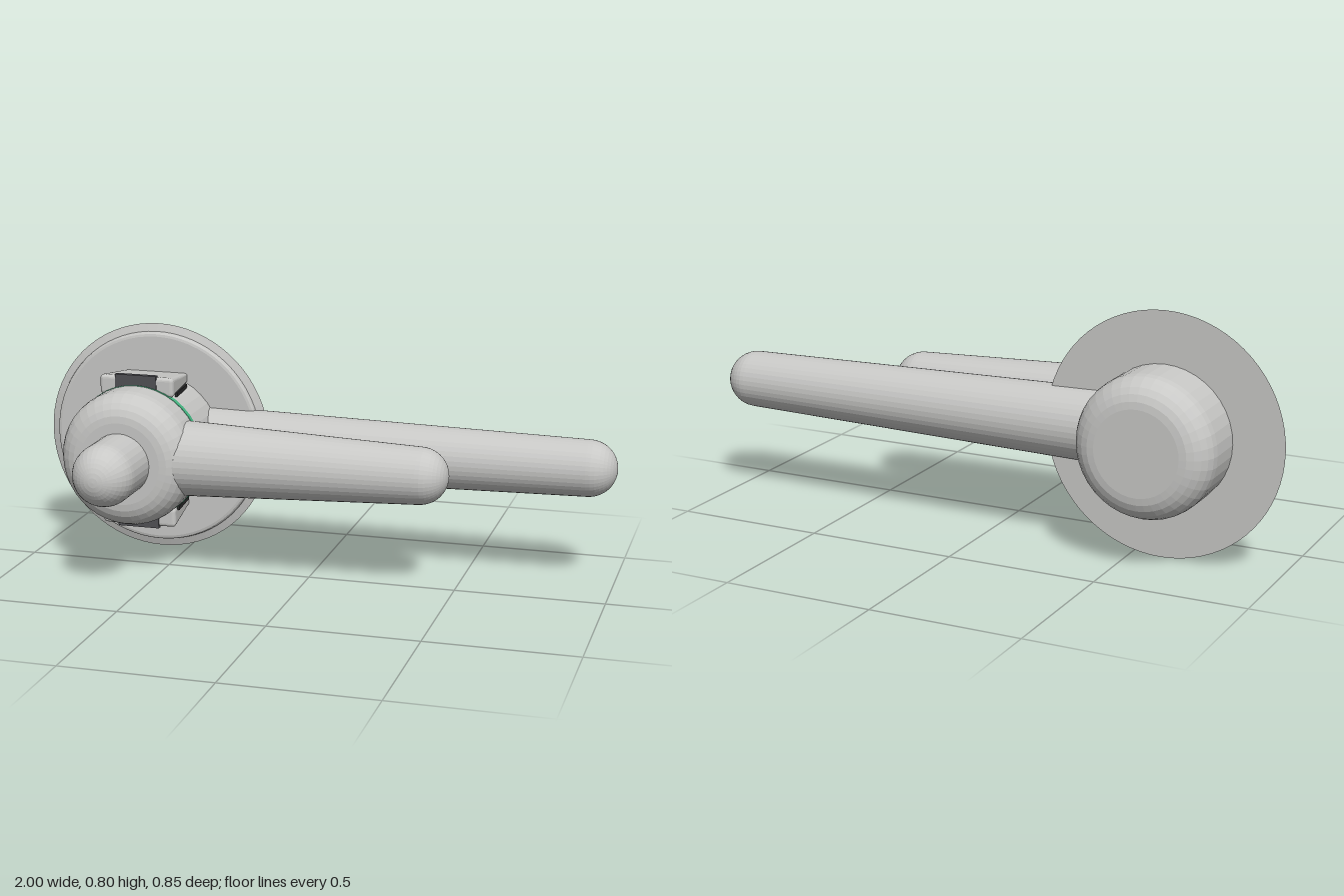
import * as THREE from 'three';
import { RoundedBoxGeometry } from 'three/addons/geometries/RoundedBoxGeometry.js';

const CX = -0.6, CY = 0.402; // main axis of the body, running along z

const paint = (name, color) => {
  const m = new THREE.MeshStandardMaterial({ color });
  m.name = name;
  return m;
};

// Quarter arc of profile points from angle a0 to a1 about (r, h)
const arc = (r, h, radius, a0, a1, n) => Array.from({ length: n + 1 }, (_, i) => {
  const a = a0 + (a1 - a0) * i / n;
  return [Math.max(0, r + radius * Math.cos(a)), h + radius * Math.sin(a)];
});

// Turned solid with faceted normals; axis is y until rotated
function turned(points, sides) {
  const lathe = new THREE.LatheGeometry(points.map(([r, h]) => new THREE.Vector2(r, h)), sides);
  const g = lathe.toNonIndexed();
  g.computeVertexNormals();
  return g;
}

export function createModel() {
  const gray = paint('light gray', 0xc8c8c6);
  const green = paint('green', 0x45b581);
  const charcoal = paint('charcoal', 0x505054);
  const black = paint('black', 0x2b2b2b);
  const model = new THREE.Group();
  const core = new THREE.Group();
  core.name = 'core';
  core.position.set(CX, CY, 0);
  model.add(core);

  const add = (parent, name, geometry, material) => {
    const mesh = new THREE.Mesh(geometry, material);
    mesh.name = name;
    parent.add(mesh);
    return mesh;
  };
  const alongZ = (points, sides) => turned(points, sides).rotateX(Math.PI / 2);
  const H = Math.PI / 2;

  // Rounded barrel and domed nose
  add(core, 'body', alongZ([
    [0, -0.425], ...arc(0.14, -0.335, 0.09, -H, 0, 6),
    ...arc(0.14, 0.1, 0.09, 0, H, 6), [0, 0.19],
  ], 40), gray);
  add(core, 'nose', alongZ([
    [0.105, 0.15], ...arc(0, 0.323, 0.105, 0, H, 10),
  ], 32), gray);

  // Coloured band
  add(core, 'band', alongZ([
    [0.228, 0.005], [0.2315, 0.005], [0.2315, 0.025], [0.228, 0.025],
  ], 40), green);

  // Wide thin flange with a raised front face
  add(core, 'flange', alongZ([
    [0, -0.206], [0.4, -0.206], [0.373, -0.197], [0.37, -0.186],
    [0.366, -0.182], [0.358, -0.18], [0, -0.18],
  ], 72), gray);

  // Tapered arms with round tips, reaching out along +x
  const arm = (name, z, baseRadius, tipX) => {
    const tip = 0.095;
    const g = turned([
      [baseRadius, 0], ...arc(0, tipX - CX - tip, tip, 0, H, 10),
    ], 40).rotateZ(-H);
    add(core, name, g, gray).position.z = z;
  };
  arm('shortArm', 0.053, 0.134, 0.485);
  arm('longArm', -0.19, 0.124, 1.0);

  // Wedge-shaped clips, above and below
  const lerp = THREE.MathUtils.lerp;
  const zBack = -0.2, zFront = 0.018, depth = zFront - zBack;
  for (const [name, turn] of [['topClip', 0], ['bottomClip', Math.PI]]) {
    const clip = new THREE.Group();
    clip.name = name;
    clip.rotation.z = turn;
    core.add(clip);

    const wedge = new RoundedBoxGeometry(0.264, 0.068, depth, 3, 0.014);
    const p = wedge.attributes.position;
    for (let i = 0; i < p.count; i++) {
      const t = p.getZ(i) / depth + 0.5;
      const v = p.getY(i) / 0.068 + 0.5;
      p.setXYZ(i, p.getX(i) * lerp(0.84, 1, t),
        lerp(lerp(0.203, 0.192, t), lerp(0.233, 0.262, t), v),
        lerp(zBack, zFront, t));
    }
    wedge.computeVertexNormals();
    add(clip, 'clipBody', wedge, gray);

    add(clip, 'frontPlate', new THREE.BoxGeometry(0.146, 0.072, 0.019), charcoal)
      .position.set(0, 0.23, 0.0125);
    for (const side of [-1, 1]) {
      const slot = add(clip, 'sideSlot', new THREE.BoxGeometry(0.009, 0.014, 0.136), black);
      slot.position.set(side * 0.125, 0.199, -0.082);
      slot.rotation.y = side * 0.095;
    }
  }
  return model;
}
